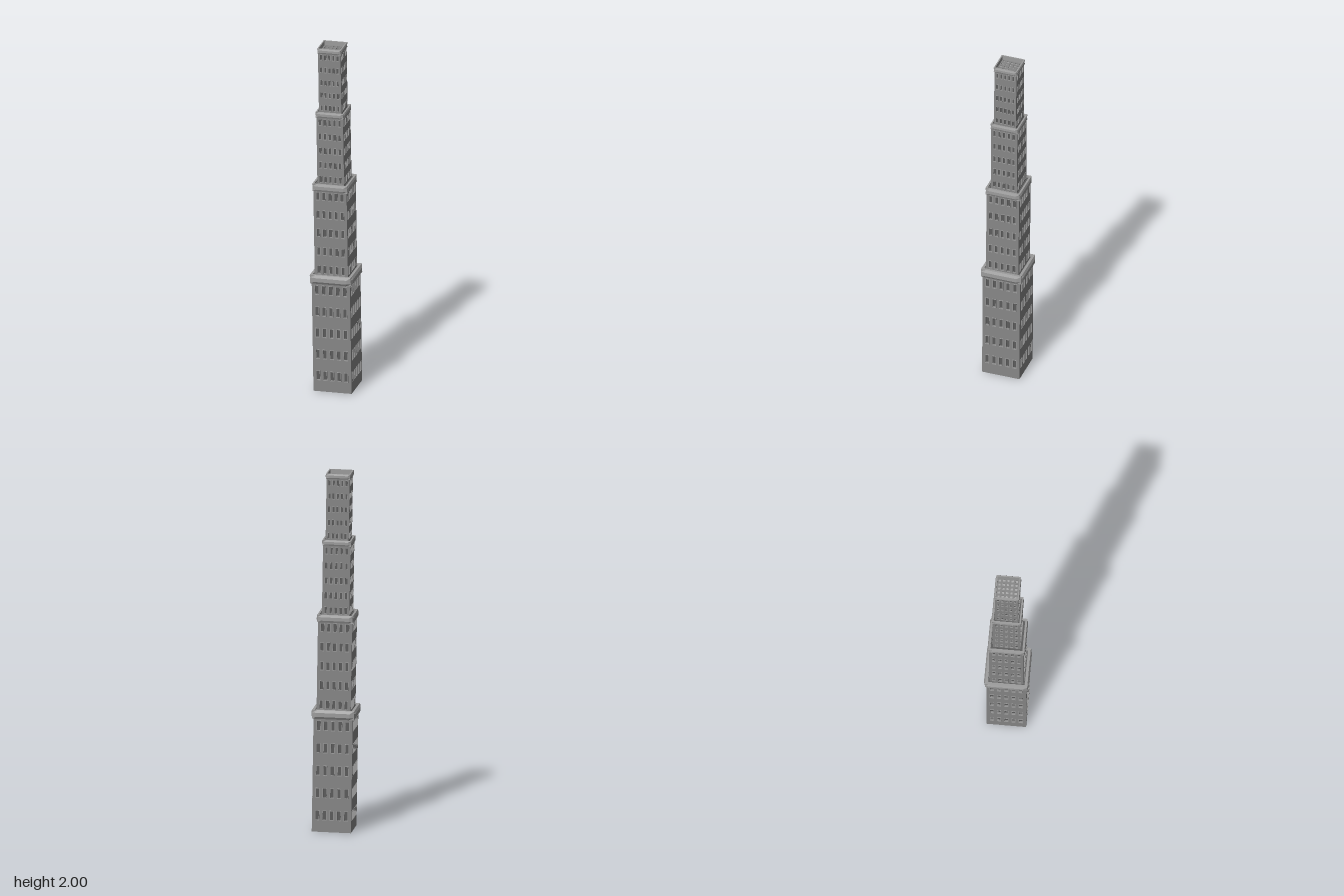
import * as THREE from 'three';
import { mergeGeometries } from 'three/addons/utils/BufferGeometryUtils.js';

const paint = (color) => new THREE.MeshStandardMaterial({ color, flatShading: true });
const wallMaterial = paint(0x878787);
const trimMaterial = paint(0x9c9c9c);
const paneMaterial = paint(0x5c5c5c);
const roofPaneMaterial = paint(0xacacac);
const GRID = 5;

function rect(Type, x, y, w, h) {
  const r = new Type();
  r.moveTo(x - w / 2, y - h / 2);
  r.lineTo(x + w / 2, y - h / 2);
  r.lineTo(x + w / 2, y + h / 2);
  r.lineTo(x - w / 2, y + h / 2);
  r.closePath();
  return r;
}

// Centres of a 5 x 5 grid of openings
function gridCells(pitchX, pitchY, offsetY) {
  const cells = [];
  for (let i = 0; i < GRID; i++) {
    for (let j = 0; j < GRID; j++) cells.push([(i - 2) * pitchX, (j - 2) * pitchY + offsetY]);
  }
  return cells;
}

// Slab facing +z, pierced at every cell; its front lies at z = 0
function panelGeometry(w, h, cells, winW, winH, depth) {
  const wall = rect(THREE.Shape, 0, 0, w, h);
  for (const [x, y] of cells) wall.holes.push(rect(THREE.Path, x, y, winW, winH));
  return new THREE.ExtrudeGeometry(wall, { depth, bevelEnabled: false }).translate(0, 0, -depth);
}

// Slightly proud surround for every window
function frameGeometry(cells, winW, winH, trim) {
  return mergeGeometries(cells.map(([x, y]) => {
    const frame = rect(THREE.Shape, x, y, winW + 2 * trim, winH + 2 * trim);
    frame.holes.push(rect(THREE.Path, x, y, winW, winH));
    return new THREE.ExtrudeGeometry(frame, { depth: trim, bevelEnabled: false });
  }));
}

// Twelve-point square outline; a bulged one draws in towards its corners
function outline(r, y, bulged) {
  const corner = bulged ? 0.94 : 1;
  const quarter = [[0.75, 1], [corner, corner], [1, 0.75]];
  const points = [];
  for (let k = 0; k < 4; k++) {
    const c = Math.round(Math.cos(k * Math.PI / 2)), s = Math.round(Math.sin(k * Math.PI / 2));
    for (const [x, z] of quarter) points.push([r * (x * c + z * s), y, r * (z * c - x * s)]);
  }
  return points;
}

// Closed ring lofted through a bevelled cornice section
function corniceGeometry(inner, wall, outer, y0, y1) {
  const h = y1 - y0;
  const mid = (wall + outer) / 2;
  const rings = [
    outline(inner, y0, false),
    outline(mid, y0, false),
    outline(outer, y0 + h * 0.25, true),
    outline(outer, y0 + h * 0.7, true),
    outline(mid, y1, false),
    outline(inner, y1, false),
  ];
  const n = rings[0].length, pos = [];
  rings.forEach((a, i) => {
    const b = rings[(i + 1) % rings.length];
    for (let k = 0; k < n; k++) {
      const m = (k + 1) % n;
      pos.push(...a[k], ...b[m], ...b[k], ...a[k], ...a[m], ...b[m]);
    }
  });
  const g = new THREE.BufferGeometry();
  g.setAttribute('position', new THREE.Float32BufferAttribute(pos, 3));
  g.computeVertexNormals();
  return g;
}

function addMesh(parent, name, geometry, material) {
  const mesh = new THREE.Mesh(geometry, material);
  mesh.name = name;
  parent.add(mesh);
  return mesh;
}

// Square block between two heights
function addBlock(parent, name, side, y0, y1, material) {
  addMesh(parent, name, new THREE.BoxGeometry(side, y1 - y0, side), material).position.y = (y0 + y1) / 2;
}

// Tiers from the ground up; mid is the height of the middle window row
const tiers = [
  { half: 0.1085, y0: 0, y1: 0.675, mid: 0.344, pitch: 0.1255, winH: 0.051, rim: 0.1235, rimY: [0.634, 0.684] },
  { half: 0.0945, y0: 0.655, y1: 1.205, mid: 0.927, pitch: 0.1078, winH: 0.045, rim: 0.104, rimY: [1.172, 1.214] },
  { half: 0.076, y0: 1.19, y1: 1.62, mid: 1.403, pitch: 0.0835, winH: 0.036, rim: 0.083, rimY: [1.599, 1.63] },
  { half: 0.064, y0: 1.61, y1: 1.974, mid: 1.8, pitch: 0.074, winH: 0.03, rim: 0.0705, rimY: [1.971, 1.999] },
];

export function createModel() {
  const model = new THREE.Group();
  model.name = 'tower';
  const body = new THREE.Group();
  body.name = 'leaningBody';
  model.add(body);

  tiers.forEach((t, index) => {
    const tier = new THREE.Group();
    tier.name = `tier${index + 1}`;
    body.add(tier);
    const bottom = index === 0, top = index === tiers.length - 1;
    const depth = t.half * 0.08;
    const side = 2 * (t.half - depth);
    const pitchX = t.half * 0.366, winW = pitchX * 0.45;

    // dark core that forms the window panes
    addBlock(tier, 'windowPanes', side, t.y0 + (bottom ? depth : 0), t.y1 - (top ? 2 * depth : 0), paneMaterial);

    // four walls with their windows
    const centre = (t.y0 + t.y1) / 2;
    const cells = gridCells(pitchX, t.pitch, t.mid - centre);
    const wall = panelGeometry(2 * t.half, t.y1 - t.y0, cells, winW, t.winH, depth);
    const frames = frameGeometry(cells, winW, t.winH, t.half * 0.024);
    for (let k = 0; k < 4; k++) {
      const face = new THREE.Group();
      face.name = 'wall';
      face.rotation.y = k * Math.PI / 2;
      face.position.y = centre;
      tier.add(face);
      addMesh(face, 'windowWall', wall, wallMaterial).position.z = t.half;
      addMesh(face, 'windowFrames', frames, trimMaterial).position.z = t.half;
    }

    // gridded floor slab and roof slab
    if (bottom || top) {
      const square = pitchX * 0.54;
      const slab = panelGeometry(2 * t.half, 2 * t.half, gridCells(pitchX, pitchX, 0), square, square, depth);
      const plate = addMesh(tier, bottom ? 'floorSlab' : 'roofSlab', slab, wallMaterial);
      plate.rotation.x = bottom ? Math.PI / 2 : -Math.PI / 2;
      plate.position.y = bottom ? t.y0 : t.y1;
    }
    if (top) addBlock(tier, 'roofPanes', side, t.y1 - 2 * depth, t.y1 - depth, roofPaneMaterial);

    // cornice around the head of the tier
    addMesh(tier, 'cornice', corniceGeometry(t.half * 0.94, t.half, t.rim, ...t.rimY), trimMaterial);
  });

  // slight lean of the whole tower
  body.rotation.z = 0.016;
  body.position.set(0.009, 0.0017, 0.001);
  return model;
}
